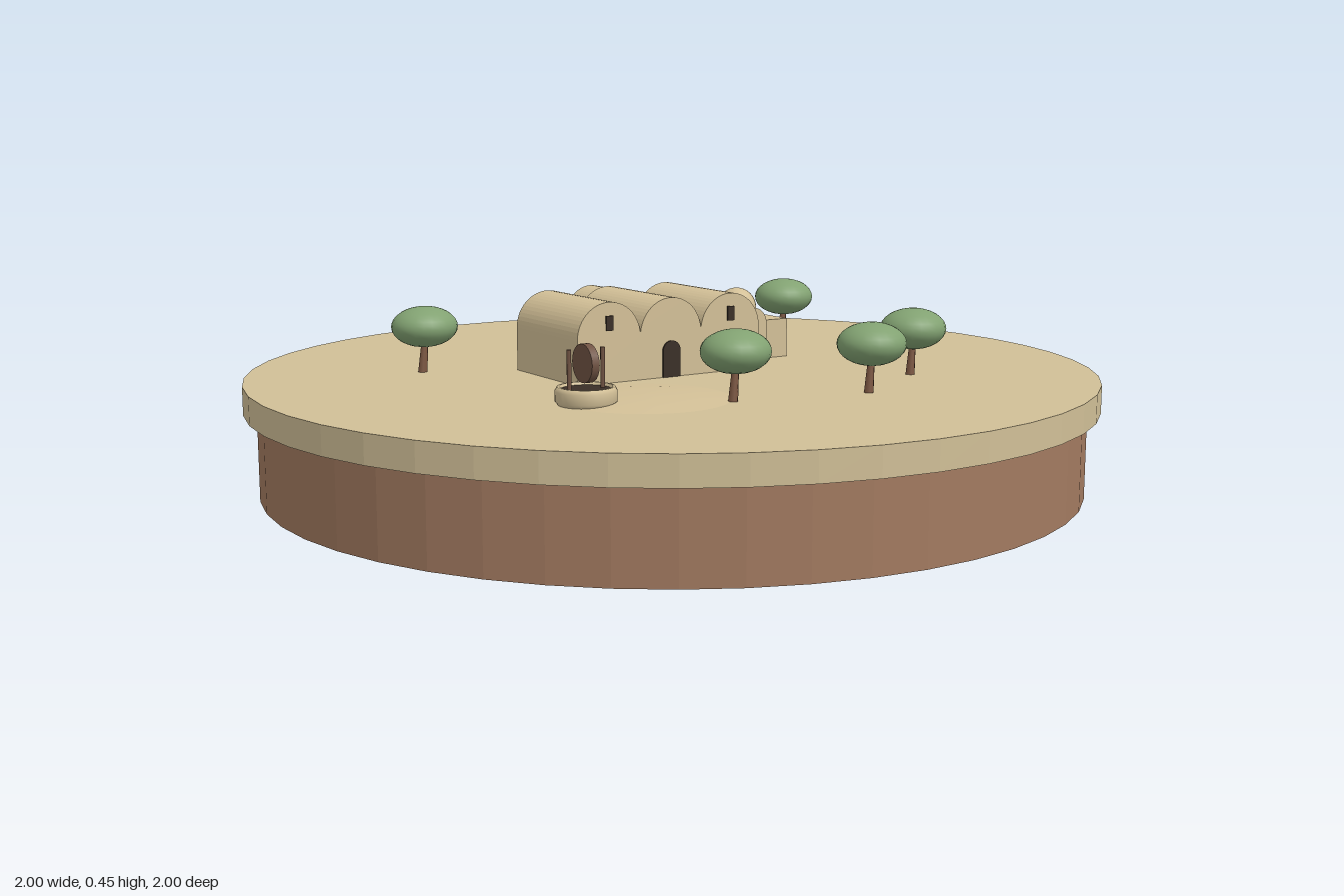
import * as THREE from 'three';

const mat = (name, color, extra = {}) => {
  const m = new THREE.MeshStandardMaterial({ color, ...extra });
  m.name = name;
  return m;
};

export function createModel() {
  const sand = mat('sand', 0xd0bf97, { flatShading: true });
  const earth = mat('earth', 0xa27a60, { flatShading: true });
  const plaster = mat('plaster', 0xd3c097);
  const leaf = mat('leaf', 0x82a272);
  const bark = mat('bark', 0x7a5540);
  const dark = mat('dark opening', 0x3a2f27);
  const mill = mat('millstone', 0x705343);

  const root = new THREE.Group();
  const GROUND = 0.265;

  const add = (parent, name, geometry, material, x = 0, y = 0, z = 0) => {
    const mesh = new THREE.Mesh(geometry, material);
    mesh.name = name;
    mesh.position.set(x, y, z);
    parent.add(mesh);
    return mesh;
  };

  // Arch-topped outline, standing on y = 0, extruded towards +z
  const archGeometry = (width, height, depth) => {
    const r = width / 2;
    const s = new THREE.Shape();
    s.moveTo(-r, 0);
    s.lineTo(r, 0);
    s.lineTo(r, height - r);
    s.absarc(0, height - r, r, 0, Math.PI, false);
    s.closePath();
    return new THREE.ExtrudeGeometry(s, { depth, bevelEnabled: false, curveSegments: 14 });
  };

  // Round island: earth below, sand slab on top
  add(root, 'earthBase', new THREE.CylinderGeometry(0.97, 0.97, 0.2, 48), earth, 0, 0.1, 0);
  add(root, 'sandSlab', new THREE.CylinderGeometry(1, 1, 0.065, 48), sand, 0, 0.2325, 0);

  // Very low mound around the mill
  const moundProfile = [[0.19, 0], [0.13, 0.005], [0.07, 0.008], [0, 0.009]]
    .map(([x, y]) => new THREE.Vector2(x, y));
  add(root, 'sandMound', new THREE.LatheGeometry(moundProfile, 32), plaster, -0.367, GROUND, 0.2);

  // Three-vaulted building, turned on the island
  const house = new THREE.Group();
  house.name = 'vaultedHouse';
  house.position.set(-0.053, GROUND, -0.06);
  house.rotation.y = -Math.PI / 9;
  root.add(house);

  const bay = 0.167, depth = 0.284, front = depth / 2;
  for (const i of [-1, 0, 1]) {
    add(house, 'vault', archGeometry(bay, 0.185, depth), plaster, i * bay, 0, -front);
    if (i !== 0) {
      add(house, 'window', new THREE.BoxGeometry(0.018, 0.034, 0.006), dark, i * bay, 0.137, front + 0.001);
    }
  }
  add(house, 'mainDoor', archGeometry(0.048, 0.085, 0.006), dark, 0, 0, front - 0.002);
  add(house, 'rearApse', archGeometry(0.137, 0.18, 0.1), plaster, 0, 0, -0.223);

  // Side annex with porch and dome
  add(house, 'annex', new THREE.BoxGeometry(0.18, 0.095, 0.17), plaster, 0.33, 0.0475, -0.056);
  add(house, 'porch', archGeometry(0.08, 0.13, 0.087), plaster, 0.306, 0, -0.043);
  add(house, 'porchDoor', new THREE.BoxGeometry(0.022, 0.045, 0.006), dark, 0.306, 0.0225, 0.045);
  add(house, 'domeDrum', new THREE.CylinderGeometry(0.044, 0.044, 0.02, 24), plaster, 0.36, 0.105, -0.104);
  add(house, 'dome', new THREE.SphereGeometry(0.05, 24, 16), plaster, 0.36, 0.113, -0.104);

  // Mill: stone basin, upright wheel and two posts
  const press = new THREE.Group();
  press.name = 'stoneMill';
  press.position.set(-0.5, GROUND, 0.147);
  press.rotation.y = -Math.PI / 9;
  root.add(press);
  const basinProfile = [[0.06, 0], [0.067, 0.008], [0.067, 0.03], [0.062, 0.039], [0.056, 0.039], [0.053, 0.025]]
    .map(([x, y]) => new THREE.Vector2(x, y));
  const basinMaterial = plaster.clone();
  basinMaterial.name = 'basin plaster';
  basinMaterial.side = THREE.DoubleSide;
  add(press, 'basin', new THREE.LatheGeometry(basinProfile, 28), basinMaterial);
  add(press, 'basinFloor', new THREE.CylinderGeometry(0.055, 0.055, 0.006, 28), dark, 0, 0.03, 0);
  const wheel = add(press, 'millWheel', new THREE.CylinderGeometry(0.042, 0.042, 0.018, 24), mill, 0, 0.088, 0);
  wheel.rotation.z = Math.PI / 2;
  for (const s of [-1, 1]) {
    add(press, 'post', new THREE.CylinderGeometry(0.005, 0.005, 0.09, 8), mill, s * 0.041, 0.075, 0);
  }

  // Trees with flattened crowns and slightly leaning trunks
  const trees = [[-0.385, -0.44], [0.64, -0.1], [-0.275, 0.375], [-0.004, 0.55], [0.272, 0.5]];
  for (const [x, z] of trees) {
    const tree = new THREE.Group();
    tree.name = 'tree';
    tree.position.set(x, GROUND, z);
    root.add(tree);
    const trunk = add(tree, 'trunk', new THREE.CylinderGeometry(0.007, 0.011, 0.09, 8), bark, -0.004, 0.042, 0);
    trunk.rotation.z = -0.12;
    const crown = add(tree, 'crown', new THREE.SphereGeometry(0.08, 24, 16), leaf, 0, 0.107, 0);
    crown.scale.set(1, 0.6, 0.95);
  }

  return root;
}
